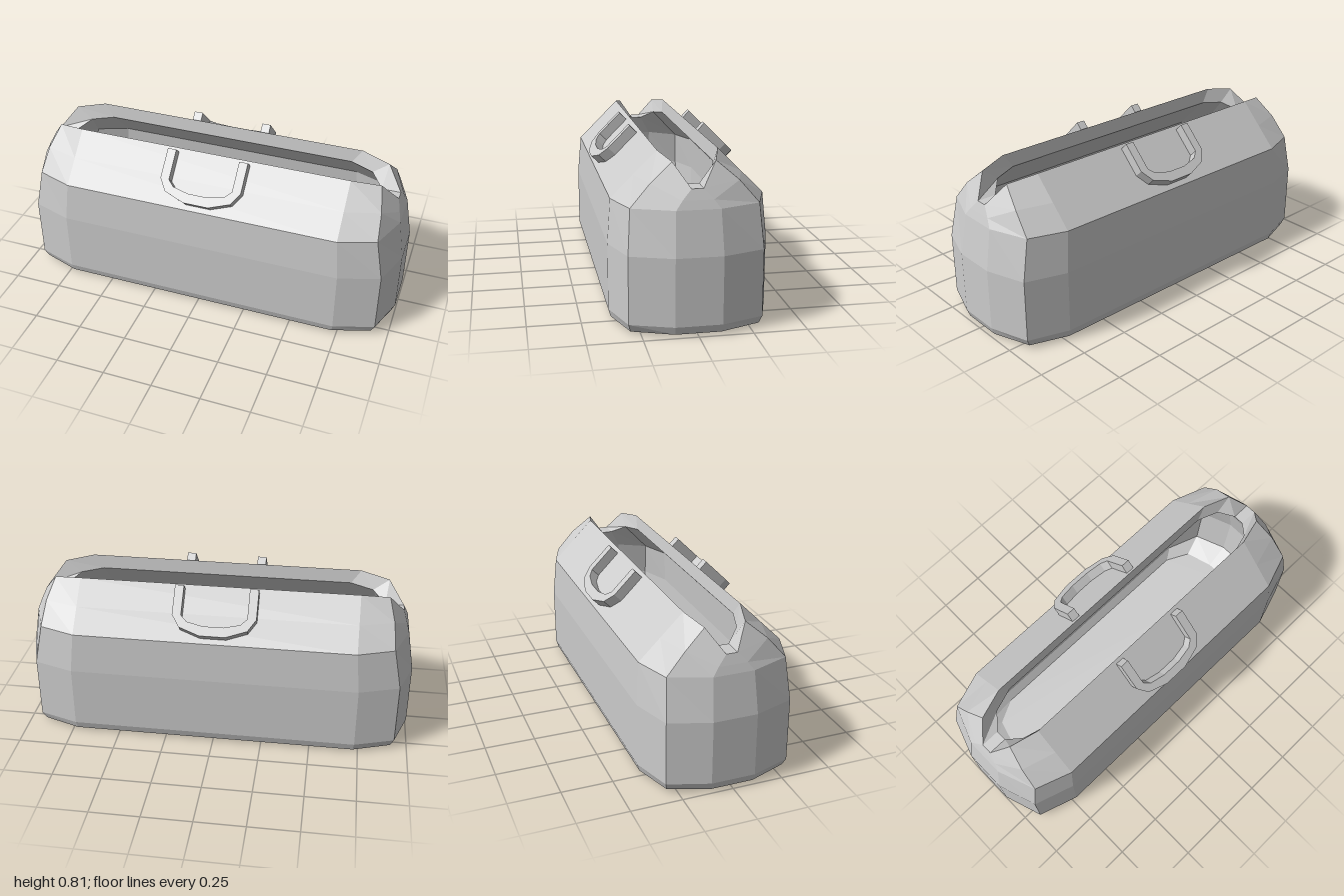
import * as THREE from 'three';

const material = () => new THREE.MeshStandardMaterial({ color: 0xcccccc, flatShading: true, side: THREE.DoubleSide });

// Each ring is one quarter: [x, y, z] at the end, the corner and the long side.
const RINGS = [
  // outer shell, bottom to top
  [[0.94, 0, 0.09], [0.88, 0, 0.28], [0.71, 0, 0.325]],
  [[0.985, 0.013, 0.105], [0.915, 0.013, 0.295], [0.725, 0.013, 0.36]],
  [[1, 0.052, 0.108], [0.933, 0.052, 0.306], [0.73, 0.052, 0.372]],
  [[1, 0.37, 0.108], [0.933, 0.37, 0.306], [0.73, 0.37, 0.372]],
  [[0.965, 0.575, 0.1], [0.893, 0.575, 0.291], [0.71, 0.575, 0.355]],
  [[0.952, 0.615, 0.07], [0.882, 0.68, 0.2], [0.71, 0.68, 0.25]],
  [[0.935, 0.662, 0.027], [0.855, 0.767, 0.098], [0.71, 0.79, 0.14]],
  // rim and inner lining, top to floor
  [[0.84, 0.662, 0.027], [0.775, 0.705, 0.095], [0.66, 0.72, 0.13]],
  [[0.88, 0.56, 0.085], [0.82, 0.55, 0.24], [0.66, 0.55, 0.3]],
  [[0.92, 0.37, 0.09], [0.86, 0.37, 0.25], [0.68, 0.37, 0.315]],
  [[0.9, 0.11, 0.09], [0.84, 0.11, 0.25], [0.67, 0.11, 0.31]],
  [[0.78, 0.06, 0.08], [0.74, 0.06, 0.22], [0.62, 0.06, 0.28]],
];

// Mirror a quarter into a full twelve-point ring
function fullRing(q) {
  const r = [...q].reverse();
  const flip = (list, sx, sz) => list.map(([x, y, z]) => [x * sx, y, z * sz]);
  return [...flip(q, 1, 1), ...flip(r, -1, 1), ...flip(q, -1, -1), ...flip(r, 1, -1)];
}

function loft(quarters) {
  const rings = quarters.map(fullRing);
  const n = rings[0].length;
  const index = [];
  for (let j = 0; j < rings.length - 1; j++) {
    for (let i = 0; i < n; i++) {
      const a = j * n + i, b = j * n + (i + 1) % n;
      index.push(a, a + n, b + n, a, b + n, b);
    }
  }
  // underside and inner floor
  const last = (rings.length - 1) * n;
  for (let i = 1; i < n - 1; i++) {
    index.push(0, i, i + 1);
    index.push(last, last + i + 1, last + i);
  }
  const indexed = new THREE.BufferGeometry();
  indexed.setAttribute('position', new THREE.Float32BufferAttribute(rings.flat(2), 3));
  indexed.setIndex(index);
  const geometry = indexed.toNonIndexed();
  geometry.computeVertexNormals();
  return geometry;
}

// U-shaped strap, lying flat against the sloping panel
function handleGeometry() {
  const arc = (rx, ry) => {
    const points = [];
    for (let i = 0; i <= 5; i++) {
      const t = (i / 5) * Math.PI;
      points.push(new THREE.Vector2(rx * Math.cos(t), -0.155 - ry * Math.sin(t)));
    }
    return points;
  };
  const shape = new THREE.Shape([
    new THREE.Vector2(0.21, 0), ...arc(0.21, 0.105), new THREE.Vector2(-0.21, 0),
    new THREE.Vector2(-0.165, 0), ...arc(0.165, 0.053).reverse(), new THREE.Vector2(0.165, 0),
  ]);
  const geometry = new THREE.ExtrudeGeometry(shape, { depth: 0.06, bevelEnabled: false });
  geometry.translate(0, 0, -0.01);
  geometry.rotateX(-Math.PI / 4);
  geometry.translate(0, 0.775, 0.155);
  return geometry;
}

export function createModel() {
  const model = new THREE.Group();
  model.name = 'openBag';

  const body = new THREE.Mesh(loft(RINGS), material());
  body.name = 'bagBody';
  model.add(body);

  // matching handle on each long side
  for (const [name, turn] of [['frontHandle', 0], ['backHandle', Math.PI]]) {
    const handle = new THREE.Mesh(handleGeometry(), material());
    handle.name = name;
    handle.rotation.y = turn;
    model.add(handle);
  }
  return model;
}
